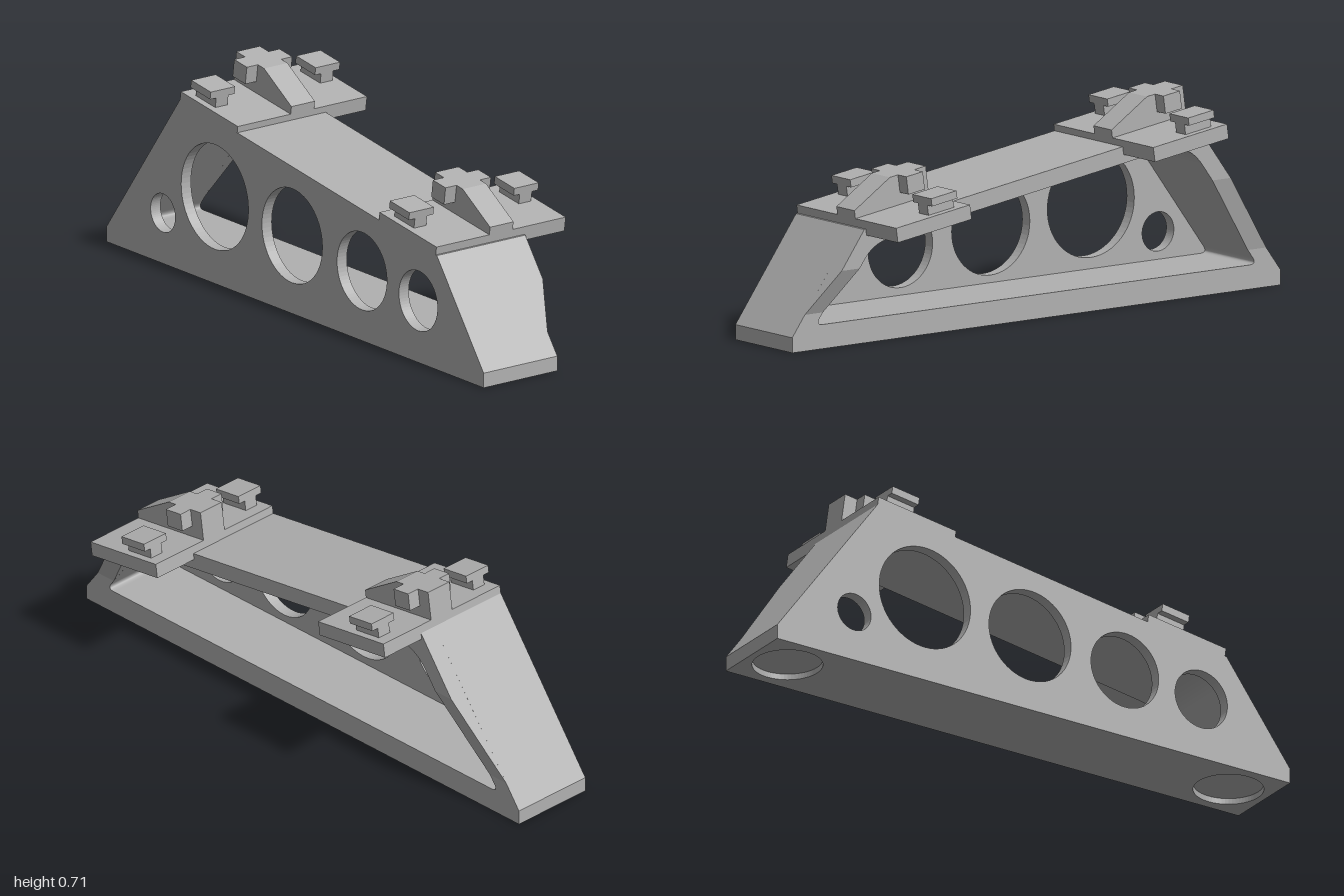
import * as THREE from 'three';

const FRONT = 0.265, BACK = -0.037, RIM = -0.098;   // depth stations
const SLAB = 0.02;                                   // thickness of the recessed bottom slab
const v = (x, y) => new THREE.Vector2(x, y);

// Sloping end walls: x of the outer and inner faces at height y
const outL = y => -1 + (y - 0.05) * 0.738;
const inL = y => outL(y) + 0.075;
const outR = y => 1 - (y - 0.05) * 0.734;
const inR = y => outR(y) - 0.074;

// Main corners of the outline and the hollow
const TOP_L = v(-0.605, 0.586), TOP_R = v(0.752, 0.388);
const IN_TL = v(-0.574, 0.526), IN_TR = v(0.715, 0.337);
const FLOOR = 0.08;
const IN_BL = v(inL(FLOOR), FLOOR), IN_BR = v(inR(FLOOR), FLOOR);

export function createModel() {
  const grey = new THREE.MeshStandardMaterial({ color: 0xb0b0b0 });
  grey.name = 'grey';
  const model = new THREE.Group();
  model.name = 'stand';

  const add = (parent, name, geometry) => {
    const mesh = new THREE.Mesh(geometry, grey);
    mesh.name = name;
    parent.add(mesh);
    return mesh;
  };
  const extrude = (shape, z0, z1) =>
    new THREE.ExtrudeGeometry(shape, { depth: z1 - z0, bevelEnabled: false, curveSegments: 32 })
      .translate(0, 0, z0);
  const circle = (x, y, r) => new THREE.Path().absarc(x, y, r, 0, Math.PI * 2, true);

  // Adds a rounded corner of tangent length t to a path
  const corner = (path, prev, c, next, t, first = false) => {
    const a = prev.clone().sub(c).setLength(t).add(c);
    const b = next.clone().sub(c).setLength(t).add(c);
    if (first) path.moveTo(a.x, a.y); else path.lineTo(a.x, a.y);
    path.quadraticCurveTo(c.x, c.y, b.x, b.y);
  };
  const outline = () => new THREE.Shape([
    v(-1, SLAB), v(1, SLAB), v(1, 0.05), TOP_R, TOP_L, v(-1, 0.05),
  ]);

  // Front wall with five round openings
  const wall = outline();
  for (const [x, y, r] of [
    [-0.70, 0.172, 0.065], [-0.425, 0.295, 0.178], [-0.015, 0.265, 0.16],
    [0.355, 0.237, 0.132], [0.653, 0.21, 0.102],
  ]) wall.holes.push(circle(x, y, r));
  add(model, 'frontWall', extrude(wall, FRONT - 0.04, FRONT));

  // Frame around the hollow: floor, end walls and ceiling
  const frame = outline();
  const hollow = new THREE.Path();
  corner(hollow, IN_TL, IN_BL, IN_BR, 0.03, true);
  corner(hollow, IN_BL, IN_BR, IN_TR, 0.03);
  corner(hollow, IN_BR, IN_TR, IN_TL, 0.06);
  corner(hollow, IN_TR, IN_TL, IN_BL, 0.1);
  hollow.closePath();
  frame.holes.push(hollow);
  add(model, 'frame', extrude(frame, BACK, FRONT - 0.04));

  // Bottom slab with two round recesses for feet
  const slab = new THREE.Shape([v(-1, -FRONT), v(1, -FRONT), v(1, -BACK), v(-1, -BACK)]);
  for (const x of [-0.86, 0.86]) slab.holes.push(circle(x, -0.114, 0.115));
  add(model, 'bottomSlab', extrude(slab, 0, SLAB).rotateX(-Math.PI / 2));

  // Deeper rear rim over the upper part
  const lowL = 0.13, highL = 0.39, lowR = 0.12, highR = 0.262;
  const rim = new THREE.Shape();
  rim.moveTo(outR(highR), highR);
  rim.lineTo(TOP_R.x, TOP_R.y);
  rim.lineTo(TOP_L.x, TOP_L.y);
  rim.lineTo(outL(highL), highL);
  rim.lineTo(inL(highL), highL);
  corner(rim, IN_BL, IN_TL, IN_TR, 0.1);
  corner(rim, IN_TL, IN_TR, IN_BR, 0.06);
  rim.lineTo(inR(highR), highR);
  rim.closePath();
  add(model, 'rearRim', extrude(rim, RIM, BACK));

  // Tapered legs of the rim, fading into the end walls
  const taper = (name, xa, xb, low, high) => {
    const geo = extrude(new THREE.Shape([
      v(xa(low), low), v(xb(low), low), v(xb(high), high), v(xa(high), high),
    ]), RIM, BACK);
    const p = geo.attributes.position;
    for (let i = 0; i < p.count; i++) if (p.getY(i) < low + 0.01) p.setZ(i, BACK);
    geo.computeVertexNormals();
    add(model, name, geo);
  };
  taper('rightRimTaper', outL, inL, lowL, highL);
  taper('leftRimTaper', inR, outR, lowR, highR);

  // Two tilted mounts with a central fin and a pair of T-shaped clips
  const mount = (name, x, y) => {
    const group = new THREE.Group();
    group.name = name;
    group.position.set(x, y, 0);
    group.rotation.z = -0.143;
    const box = (part, u0, u1, v0, v1, z0, z1) =>
      add(group, part, new THREE.BoxGeometry(u1 - u0, v1 - v0, z1 - z0))
        .position.set((u0 + u1) / 2, (v0 + v1) / 2, (z0 + z1) / 2);

    box('mountPlate', 0, 0.305, -0.049, 0, -FRONT, FRONT);
    const fin = new THREE.Shape([
      v(0, -0.03), v(0.305, -0.03), v(0.305, 0.027), v(0.148, 0.099), v(0, 0.099),
    ]);
    add(group, 'fin', extrude(fin, -0.048, 0.048));
    for (const s of [-1, 1]) {
      const side = (part, u0, u1, v0, v1, a, b) =>
        box(part, u0, u1, v0, v1, Math.min(s * a, s * b), Math.max(s * a, s * b));
      side('finLug', 0.047, 0.115, 0.039, 0.099, 0.04, 0.093);
      side('clipStem', 0.047, 0.152, -0.01, 0.034, 0.19, 0.24);
      side('clipCap', 0.047, 0.152, 0.034, 0.06, 0.165, FRONT);
    }
    model.add(group);
  };
  mount('rightMount', -0.605, 0.608);
  mount('leftMount', 0.448, 0.46);

  return model;
}
